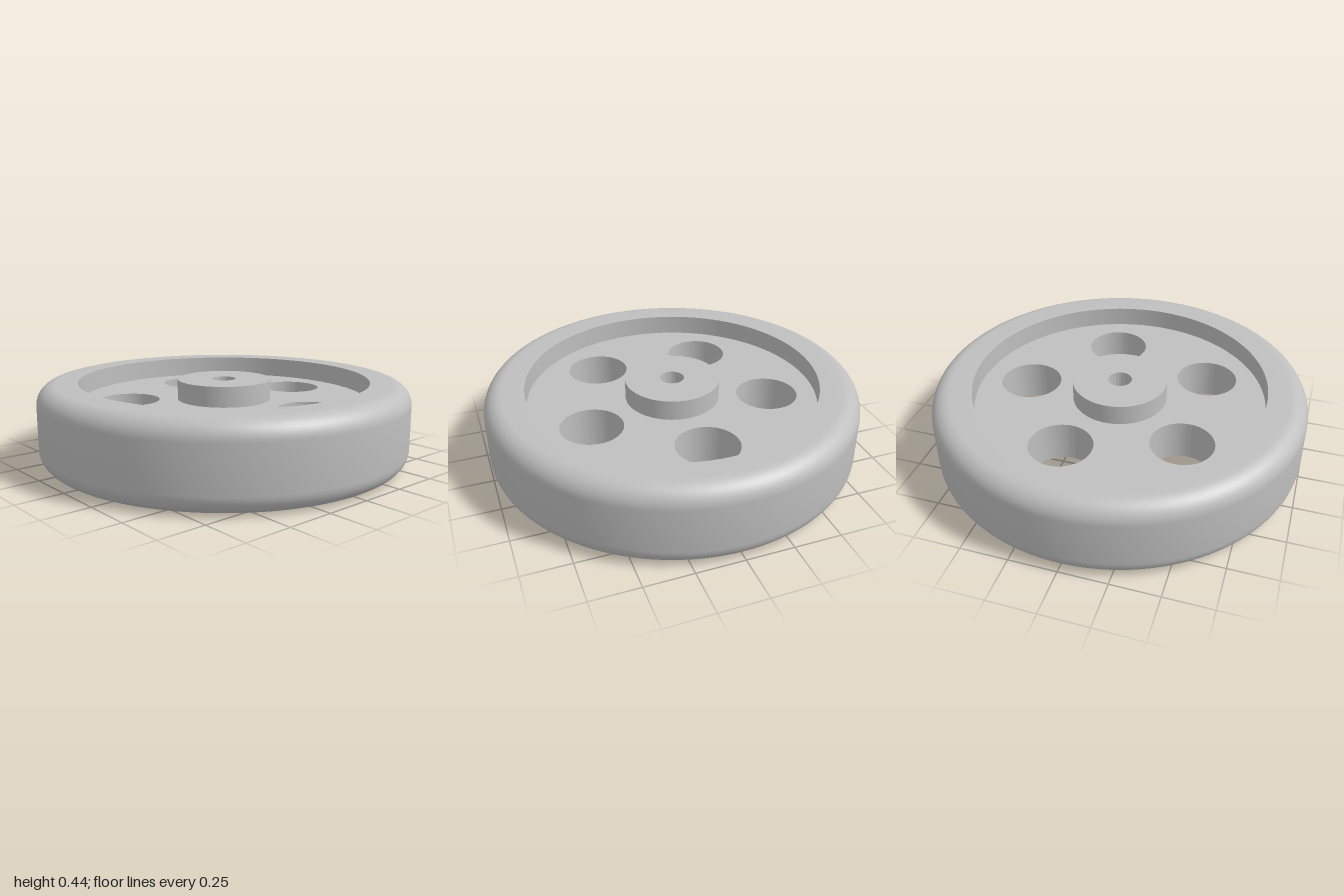
import * as THREE from 'three';
import { toCreasedNormals } from 'three/addons/utils/BufferGeometryUtils.js';

const SEGMENTS = 128;
const HEIGHT = 0.435, WEB_LOW = 0.109, WEB_HIGH = HEIGHT - WEB_LOW;
const OUTER = 1, FILLET = 0.1, RIM_INNER = 0.783;
const HUB = 0.253, BORE = 0.064;
const HOLE = 0.164, HOLE_ORBIT = 0.516, HOLES = 5;

export function createModel() {
  const model = new THREE.Group();
  model.name = 'wheel';
  const grey = new THREE.MeshStandardMaterial({ color: 0xbfbfbf });
  grey.name = 'light grey';

  const add = (name, geometry, parent = model) => {
    const mesh = new THREE.Mesh(geometry, grey);
    mesh.name = name;
    parent.add(mesh);
    return mesh;
  };
  // Profiles running upward face outward, downward ones face the axis
  const turn = (points) => toCreasedNormals(
    new THREE.LatheGeometry(points.map(([x, y]) => new THREE.Vector2(x, y)), SEGMENTS), Math.PI / 6);

  // Rim: rounded outer tread, flat shoulders and recess walls
  const rim = [[RIM_INNER, WEB_LOW], [RIM_INNER, 0]];
  const fillet = (cy, start) => {
    for (let i = 0; i <= 10; i++) {
      const a = start + (i / 10) * Math.PI / 2;
      rim.push([OUTER - FILLET + FILLET * Math.cos(a), cy + FILLET * Math.sin(a)]);
    }
  };
  fillet(FILLET, -Math.PI / 2);
  fillet(HEIGHT - FILLET, 0);
  rim.push([RIM_INNER, HEIGHT], [RIM_INNER, WEB_HIGH]);
  add('rim', turn(rim));

  // Hub: raised on both sides of the web, with a through bore
  add('hub', turn([
    [HUB, WEB_HIGH], [HUB, HEIGHT], [BORE, HEIGHT], [BORE, 0], [HUB, 0], [HUB, WEB_LOW],
  ]));

  // Web: pierced disc faces, and a wall lining each hole
  const web = new THREE.Group();
  web.name = 'web';
  model.add(web);
  const disc = new THREE.Shape().absarc(0, 0, RIM_INNER, 0, Math.PI * 2);
  const pierce = (x, y, r) => disc.holes.push(new THREE.Path().absarc(x, y, r, 0, Math.PI * 2, true));
  pierce(0, 0, HUB);
  const wall = turn([[HOLE, WEB_HIGH], [HOLE, WEB_LOW]]);
  for (let i = 0; i < HOLES; i++) {
    const a = (i / HOLES) * Math.PI * 2;
    const x = HOLE_ORBIT * Math.cos(a), z = HOLE_ORBIT * Math.sin(a);
    pierce(x, -z, HOLE);
    add('holeWall', wall, web).position.set(x, 0, z);
  }
  for (const [name, side, y] of [['webTop', -1, WEB_HIGH], ['webBottom', 1, WEB_LOW]]) {
    const face = new THREE.ShapeGeometry(disc, SEGMENTS / 2);
    add(name, face.rotateX(side * Math.PI / 2).translate(0, y, 0), web);
  }
  return model;
}
